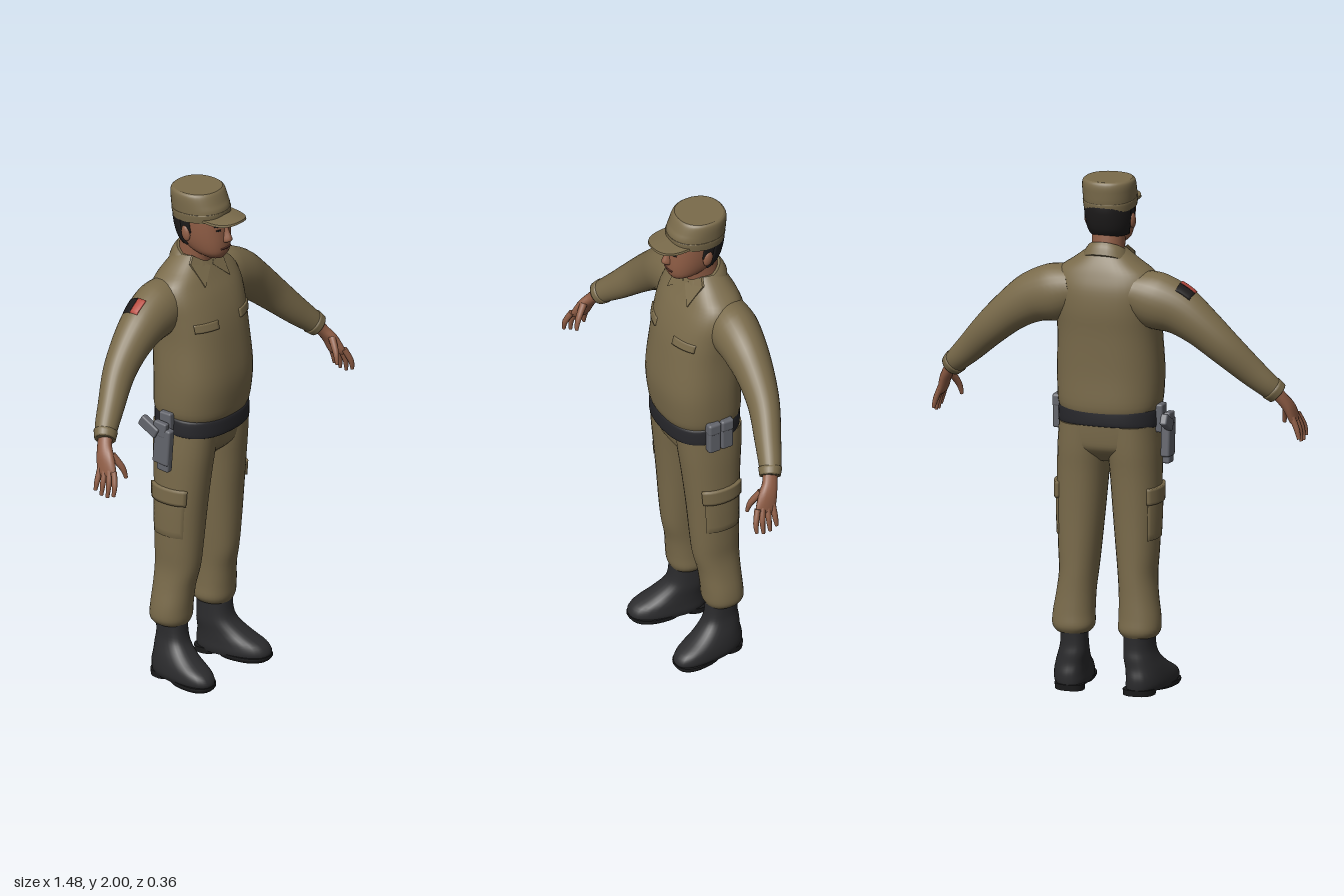
import * as THREE from 'three';
import { mergeGeometries, mergeVertices } from 'three/addons/utils/BufferGeometryUtils.js';
import { RoundedBoxGeometry } from 'three/addons/geometries/RoundedBoxGeometry.js';

const TAU = Math.PI * 2;
const paint = (name, color) => {
  const m = new THREE.MeshStandardMaterial({ color });
  m.name = name;
  return m;
};

// Smooth interpolation of cross-section rows [x, y, z, radiusU, radiusV]
function sample(rows, t) {
  const n = rows.length - 1, f = t * n, i = Math.min(Math.floor(f), n - 1), k = f - i;
  const at = (j) => rows[Math.max(0, Math.min(n, j))];
  const [a, b, c, d] = [at(i - 1), at(i), at(i + 1), at(i + 2)];
  return b.map((q, j) => q + 0.5 * k * (c[j] - a[j] + k * (2 * a[j] - 5 * q + 4 * c[j] - d[j] + k * (3 * (q - c[j]) + d[j] - a[j]))));
}

// Surface through the rows: horizontal rings if flat, otherwise rings across the path
function surface(rows, flat = true, p = 2.2) {
  const pw = (q) => Math.sign(q) * Math.abs(q) ** (2 / p);
  return (t, a, off = 0) => {
    const r = sample(rows, t);
    const U = new THREE.Vector3(1, 0, 0), V = new THREE.Vector3(0, 0, 1);
    if (!flat) {
      const s0 = sample(rows, Math.max(0, t - 0.02)), s1 = sample(rows, Math.min(1, t + 0.02));
      const T = new THREE.Vector3(s1[0] - s0[0], s1[1] - s0[1], s1[2] - s0[2]).normalize();
      U.crossVectors(T, V).normalize();
      V.crossVectors(U, T);
    }
    return new THREE.Vector3(r[0], r[1], r[2])
      .addScaledVector(U, (r[3] + off) * pw(Math.cos(a)))
      .addScaledVector(V, (r[4] + off) * pw(Math.sin(a)));
  };
}

function grid(fn, nv, nu) {
  const pos = [], idx = [];
  for (let j = 0; j <= nv; j++) for (let i = 0; i <= nu; i++) pos.push(...fn(j, i).toArray());
  for (let j = 0; j < nv; j++) for (let i = 0; i < nu; i++) {
    const a = j * (nu + 1) + i, c = a + nu + 1;
    idx.push(a, c, a + 1, a + 1, c, c + 1);
  }
  let g = new THREE.BufferGeometry();
  g.setAttribute('position', new THREE.Float32BufferAttribute(pos, 3));
  g.setIndex(idx);
  g = mergeVertices(g, 1e-5);
  g.computeVertexNormals();
  return g;
}

// Closed body with end caps
function loft(rows, { flat = true, p = 2.2, nu = 28, sub = 4, warp = null } = {}) {
  const f = surface(rows, flat, p), nv = (rows.length - 1) * sub;
  const w = (v) => (warp && warp(v), v);
  const mid = (t) => new THREE.Vector3(...sample(rows, t).slice(0, 3));
  const ang = (i) => (i / nu) * TAU;
  return mergeGeometries([
    grid((j, i) => w(f(j / nv, ang(i))), nv, nu),
    grid((j, i) => w(j ? f(0, ang(i)) : mid(0)), 1, nu),
    grid((j, i) => w(j ? mid(1) : f(1, ang(i))), 1, nu),
  ]);
}

// Raised plate that follows a surface
function patch(f, t0, t1, a0, a1, off, nv = 8, nu = 12) {
  const s = (i, n) => Math.max(0, Math.min(1, (i - 1) / (n - 2)));
  return grid((j, i) => {
    const edge = j === 0 || i === 0 || j === nv || i === nu;
    return f(t0 + (t1 - t0) * s(j, nv), a0 + (a1 - a0) * s(i, nu), edge ? -0.004 : off);
  }, nv, nu);
}

function mirror(geo) {
  const g = geo.clone().scale(-1, 1, 1), ix = g.index.array;
  for (let i = 0; i < ix.length; i += 3) [ix[i], ix[i + 1]] = [ix[i + 1], ix[i]];
  return g;
}

export function createModel() {
  const root = new THREE.Group();
  root.name = 'uniformedMan';
  const cloth = paint('khaki cloth', 0x7a6b4b), skin = paint('skin', 0x8f5d45), lip = paint('lips', 0x74453a);
  const hairMat = paint('dark hair', 0x1d1b1b), leather = paint('boot leather', 0x2b2b2d), sole = paint('sole rubber', 0x1b1b1c);
  const beltMat = paint('belt webbing', 0x27272b), gear = paint('grey gear', 0x63656c), red = paint('patch red', 0xb5483c);
  const add = (name, geo, mat) => {
    const m = new THREE.Mesh(geo, mat);
    m.name = name;
    root.add(m);
    return m;
  };
  const both = (name, geo, mat) => {
    add(name + 'Left', geo, mat);
    add(name + 'Right', mirror(geo), mat);
  };

  // Shirt
  const torso = [[0, 1.09, -.01, .185, .145], [0, 1.13, -.01, .2, .155], [0, 1.25, -.005, .205, .16], [0, 1.4, -.017, .2, .155],
    [0, 1.5, -.031, .205, .149], [0, 1.58, -.043, .21, .132], [0, 1.64, -.05, .19, .107], [0, 1.685, -.052, .13, .085], [0, 1.73, -.05, .07, .06]];
  add('shirt', loft(torso, { p: 2.4, nu: 40 }), cloth);
  both('chestPocketFlap', patch(surface(torso, true, 2.4), .455, .5, .72, 1.32, .005), cloth);

  const arm = [[.12, 1.57, -.07, .09, .09], [.2, 1.545, -.07, .11, .095], [.29, 1.515, -.065, .098, .085], [.38, 1.455, -.06, .08, .072],
    [.47, 1.375, -.045, .068, .06], [.56, 1.285, -.01, .056, .05], [.62, 1.228, .015, .047, .044], [.655, 1.193, .035, .04, .036]];
  const armSurf = surface(arm, false, 2);
  both('sleeve', loft(arm, { flat: false, p: 2 }), cloth);
  both('cuff', patch(armSurf, .9, .995, 0, TAU, .004, 6, 26), cloth);

  // Sleeve patch
  add('patchBlack', mirror(patch(armSurf, .25, .32, Math.PI + .15, Math.PI + .65, .004)), hairMat);
  add('patchRed', mirror(patch(armSurf, .25, .32, Math.PI - .25, Math.PI + .15, .004)), red);

  // Collar with two points
  add('collar', loft([[0, 1.665, -.045, .1, .09], [0, 1.7, -.045, .086, .078], [0, 1.725, -.042, .073, .067]],
    { warp: (v) => { v.y -= .6 * (v.z + .045); } }), cloth);
  const tri = new THREE.Shape([[.008, 1.685], [.075, 1.625], [.092, 1.71], [.065, 1.735]].map((q) => new THREE.Vector2(...q)));
  const point = new THREE.ExtrudeGeometry(tri, { depth: .009, bevelEnabled: false });
  const pp = point.attributes.position;
  for (let i = 0; i < pp.count; i++) pp.setZ(i, pp.getZ(i) + .066 - .65 * (pp.getY(i) - 1.625) - 1.5 * pp.getX(i) ** 2);
  point.computeVertexNormals();
  both('collarPoint', mergeVertices(point), cloth);

  // Hands
  const palm = [[.645, 1.205, .03, .024, .028], [.67, 1.17, .045, .022, .03], [.69, 1.135, .065, .02, .038],
    [.705, 1.09, .083, .016, .042], [.711, 1.075, .087, .01, .038]];
  const digits = [[[.675, 1.15, .085, .015, .015], [.656, 1.1, .12, .012, .012], [.648, 1.058, .132, .007, .007]]];
  for (let i = 0; i < 4; i++) {
    const z = .053 + .022 * i, tip = [1.015, 1.002, 1.0, 1.012][i];
    digits.push([[.706, 1.1, z, .012, .012], [.726, 1.05, z + .006 * i, .011, .011], [.734, tip, z + .007 * i - .002, .007, .007]]);
  }
  both('hand', mergeGeometries([loft(palm, { flat: false, nu: 16 }), ...digits.map((d) => loft(d, { flat: false, p: 2, nu: 10 }))]), skin);

  // Trousers
  add('trouserSeat', loft([[0, .9, -.02, .09, .06], [0, .95, -.02, .18, .115], [0, 1, -.018, .197, .13], [0, 1.1, -.012, .187, .142]], { p: 2.4, nu: 36 }), cloth);
  const leg = [[.132, .225, -.055, .066, .068], [.132, .25, -.056, .081, .079], [.132, .3, -.052, .08, .08], [.125, .38, -.045, .074, .083],
    [.118, .46, -.035, .073, .092], [.116, .55, -.03, .08, .097], [.112, .7, -.025, .09, .104], [.106, .85, -.02, .096, .115],
    [.1, .95, -.018, .1, .125], [.095, 1.05, -.015, .098, .132]];
  const legSurf = surface(leg);
  both('trouserLeg', loft(leg), cloth);
  both('cargoPocket', patch(legSurf, .6, .71, -.75, .7, .004), cloth);
  both('cargoPocketFlap', patch(legSurf, .7, .745, -.8, .75, .011), cloth);

  // Boots, toes turned out
  const splay = { p: 2.4, warp: (v) => { v.x += .13 * v.z; } };
  both('boot', loft([[.152, .015, .02, .066, .147], [.154, .035, .022, .072, .152], [.154, .065, .012, .07, .142], [.15, .1, -.017, .065, .106],
    [.142, .14, -.042, .059, .08], [.138, .18, -.05, .054, .068], [.138, .25, -.055, .052, .067]], splay), leather);
  both('bootSole', loft([[.153, .004, .07, .066, .097], [.153, .014, .07, .072, .104], [.153, .024, .07, .072, .104]], splay), sole);
  both('bootHeel', loft([[.15, 0, -.08, .058, .05], [.15, .024, -.08, .06, .053]], splay), sole);

  // Belt, pouches and holster
  add('belt', loft([[0, 1.036, -.011, .192, .142], [0, 1.044, -.011, .199, .149], [0, 1.096, -.011, .197, .149], [0, 1.105, -.011, .19, .142]],
    { p: 2.4, nu: 40, warp: (v) => { v.y -= .1 * v.z; } }), beltMat);
  const box = (name, w, h, d, x, y, z, rx = 0) => {
    const m = add(name, new RoundedBoxGeometry(w, h, d, 2, Math.min(w, h, d) * .25), gear);
    m.position.set(x, y, z);
    m.rotation.x = rx;
  };
  for (const z of [.022, -.033]) {
    box('pouch', .036, .125, .051, .2, 1.07, z);
    box('pouchFlap', .042, .05, .054, .2, 1.115, z);
  }
  box('holsterLoop', .03, .11, .055, -.205, 1.075, -.02);
  box('holsterBody', .036, .15, .075, -.232, 1.0, -.015, .08);
  box('holsterTip', .03, .07, .055, -.23, .932, -.01, .08);
  box('pistolSlide', .026, .06, .06, -.238, 1.07, -.022, .08);
  box('pistolGrip', .028, .045, .09, -.246, 1.07, -.07, .5);

  // Head
  add('neck', loft([[0, 1.66, -.048, .064, .068], [0, 1.72, -.04, .062, .067], [0, 1.8, -.025, .064, .07]]), skin);
  const head = [[0, 1.733, .047, .035, .042], [0, 1.755, .03, .062, .073], [0, 1.79, .008, .078, .1], [0, 1.84, -.003, .087, .109],
    [0, 1.9, -.01, .09, .11], [0, 1.94, -.01, .085, .1]];
  const headSurf = surface(head);
  add('head', loft(head), skin);
  add('nose', loft([[0, 1.803, .098, .016, .02], [0, 1.815, .104, .018, .028], [0, 1.845, .1, .011, .02], [0, 1.875, .094, .009, .012]], { nu: 12 }), skin);
  add('mouth', patch(headSurf, .325, .355, 1.22, 1.92, .004), lip);
  both('eye', patch(headSurf, .648, .668, 1.08, 1.3, .002), hairMat);
  both('eyebrow', patch(headSurf, .705, .725, 1.0, 1.35, .004), hairMat);
  const ear = new THREE.SphereGeometry(1, 14, 10).scale(.011, .032, .02).rotateX(-.2).translate(.091, 1.835, -.018);
  both('ear', ear, skin);
  add('hair', patch(headSurf, .36, .93, Math.PI + .3, TAU - .3, .008, 10, 28), hairMat);
  both('sideburn', patch(headSurf, .6, .9, -.35, .05, .005), hairMat);

  // Cap
  add('cap', loft([[0, 1.888, -.013, .094, .107], [0, 1.9, -.013, .098, .111], [0, 1.93, -.017, .1, .113], [0, 1.97, -.027, .101, .107],
    [0, 1.992, -.031, .098, .1], [0, 2, -.031, .09, .092]], { p: 2.2, nu: 36, warp: (v) => { if (v.y < 1.95) v.y += .06 * v.z; } }), cloth);
  add('capBand', loft([[0, 1.887, -.013, .098, .111], [0, 1.918, -.014, .102, .115], [0, 1.92, -.014, .097, .11]],
    { nu: 36, warp: (v) => { v.y += .06 * v.z; } }), cloth);
  add('capBrim', loft([[0, 1.908, .07, .083, .108], [0, 1.916, .07, .081, .106]],
    { p: 2.4, nu: 36, warp: (v) => { v.y -= 2 * v.x * v.x + .08 * (v.z - .08); } }), cloth);
  return root;
}
